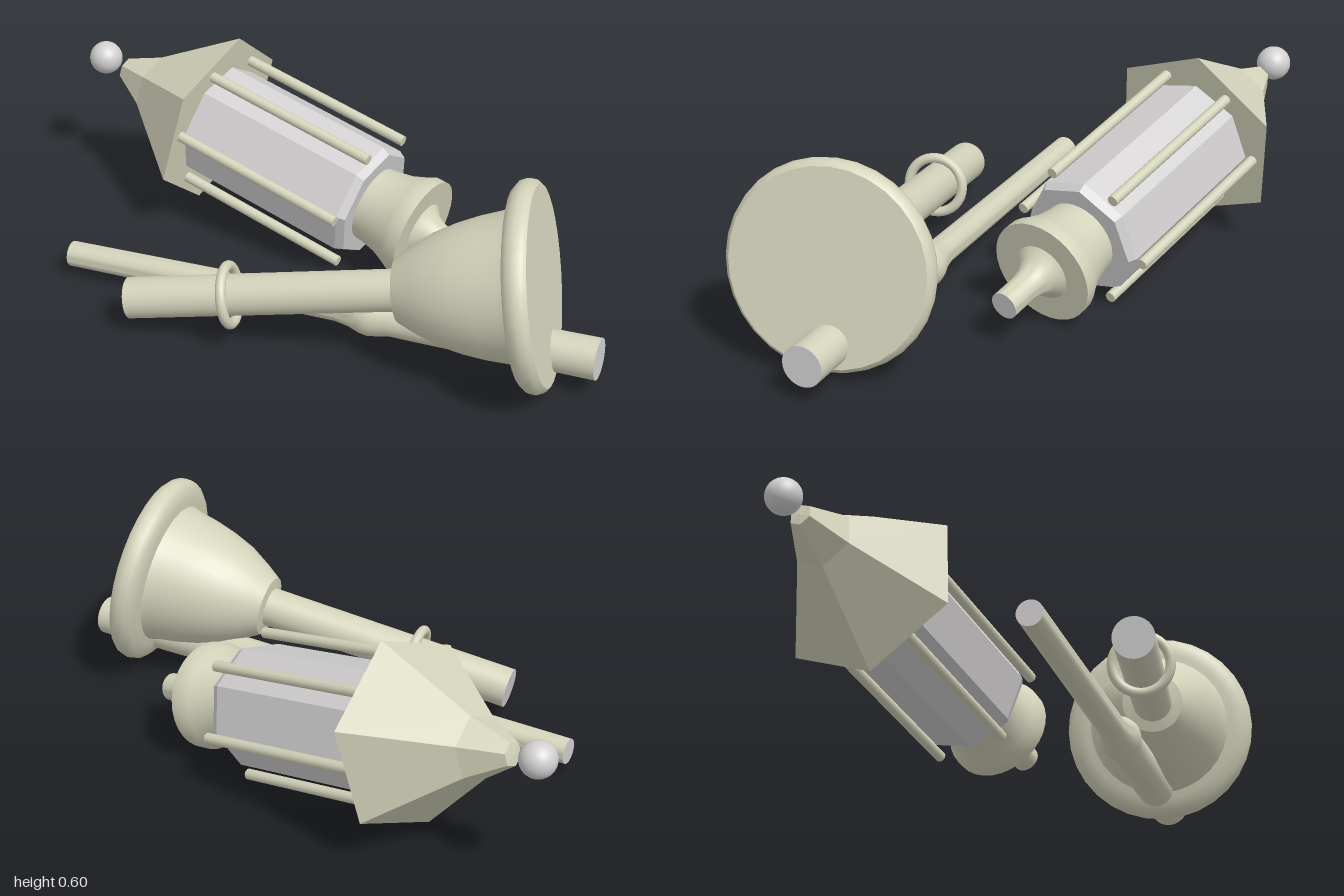
import * as THREE from 'three';
import { toCreasedNormals } from 'three/addons/utils/BufferGeometryUtils.js';

const V = (x, y, z) => new THREE.Vector3(x, y, z);

export function createModel() {
  const model = new THREE.Group();
  model.name = 'brokenStreetLamp';

  const olive = new THREE.MeshStandardMaterial({ color: 0xd4d3bb });
  olive.name = 'paleOliveMetal';
  const grey = new THREE.MeshStandardMaterial({ color: 0xd2d0d0 });
  grey.name = 'lightGrey';

  function add(parent, name, geometry, material) {
    const mesh = new THREE.Mesh(geometry, material);
    mesh.name = name;
    parent.add(mesh);
    return mesh;
  }

  // Turned part along +y from [radius, height] pairs
  function turned(parent, name, profile, material, sides = 32, crease = 0.6) {
    const points = profile.map(([r, h]) => new THREE.Vector2(r, h));
    const geometry = new THREE.LatheGeometry(points, sides);
    return add(parent, name, toCreasedNormals(geometry, crease), material);
  }

  // Round end plate facing +y or -y
  function cap(parent, name, radius, height, up) {
    const mesh = add(parent, name, new THREE.CircleGeometry(radius, 32), grey);
    mesh.rotation.x = up ? -Math.PI / 2 : Math.PI / 2;
    mesh.position.y = height;
  }

  // Group whose +y runs along dir and whose +z leans toward side
  function piece(name, origin, dir, side) {
    const group = new THREE.Group();
    group.name = name;
    const y = dir.clone().normalize();
    const x = new THREE.Vector3().crossVectors(y, side).normalize();
    const z = new THREE.Vector3().crossVectors(x, y);
    group.quaternion.setFromRotationMatrix(new THREE.Matrix4().makeBasis(x, y, z));
    group.position.copy(origin);
    model.add(group);
    return group;
  }

  // Lantern head, from finial to stem
  const lantern = piece('lanternHead', V(-0.947, 0.382, 0), V(1, -0.21, -0.335), V(0.141, 0.972, -0.194));
  add(lantern, 'finialBall', new THREE.SphereGeometry(0.052, 32, 20), grey);
  turned(lantern, 'hexagonalRoof',
    [[0, 0.08], [0.035, 0.083], [0.095, 0.2], [0.284, 0.455], [0, 0.455]].map(([r, h]) => [r, h]),
    olive, 6, 0.05);
  turned(lantern, 'glassBody', [[0.183, 0.45], [0.183, 1.02], [0.17, 1.045], [0, 1.045]], grey, 8, 0.1);
  for (let i = 0; i < 6; i++) {
    const angle = (i + 0.5) * Math.PI / 3;
    const rod = add(lantern, 'cageRod', new THREE.CylinderGeometry(0.016, 0.016, 0.58, 12), olive);
    rod.position.set(0.206 * Math.sin(angle), 0.742, 0.206 * Math.cos(angle));
  }
  turned(lantern, 'lanternCup',
    [[0.115, 1.03], [0.118, 1.07], [0.128, 1.12], [0.146, 1.165], [0.158, 1.19], [0.158, 1.222], [0.07, 1.222]], olive);
  turned(lantern, 'lanternStem',
    [[0.085, 1.222], [0.06, 1.245], [0.046, 1.275], [0.041, 1.31], [0.041, 1.394]], olive);
  cap(lantern, 'stemEnd', 0.041, 1.394, true);

  // Bell-shaped foot with the lower post
  const foot = piece('footAndLowerPost', V(0.81, 0.293, -0.287), V(-0.757, -0.178, 0.629), V(0, 1, 0));
  turned(foot, 'footRim',
    [[0, 0], [0.28, 0], [0.292, 0.012], [0.297, 0.032], [0.292, 0.052], [0.275, 0.068], [0.24, 0.075], [0.2, 0.08]],
    olive, 32);
  turned(foot, 'footBell',
    [[0.222, 0.07], [0.212, 0.1], [0.2, 0.165], [0.183, 0.23], [0.158, 0.3], [0.122, 0.365], [0.092, 0.412], [0.055, 0.418]],
    olive);
  turned(foot, 'lowerPost', [[0.06, 0.4], [0.06, 1.21]], olive);
  cap(foot, 'lowerPostEnd', 0.06, 1.21, true);
  const ring = add(foot, 'postRing', new THREE.TorusGeometry(0.084, 0.015, 12, 36), olive);
  ring.rotation.x = Math.PI / 2;
  ring.position.y = 0.905;

  // Fallen upper post with its swollen collar
  const start = V(-0.465, 0.043, 0.445);
  const span = V(0.945, 0.087, -0.382).sub(start);
  const length = span.length();
  const post = piece('upperPost', start, span, V(0, 1, 0));
  turned(post, 'upperPostShaft', [
    [0.038, 0], [0.042, 0.86], [0.05, 0.905], [0.062, 0.94], [0.066, 0.965],
    [0.062, 0.99], [0.055, 1.03], [0.056, 1.1], [0.06, length],
  ], olive);
  cap(post, 'upperPostThinEnd', 0.038, 0, false);
  cap(post, 'upperPostThickEnd', 0.06, length, true);

  return model;
}
